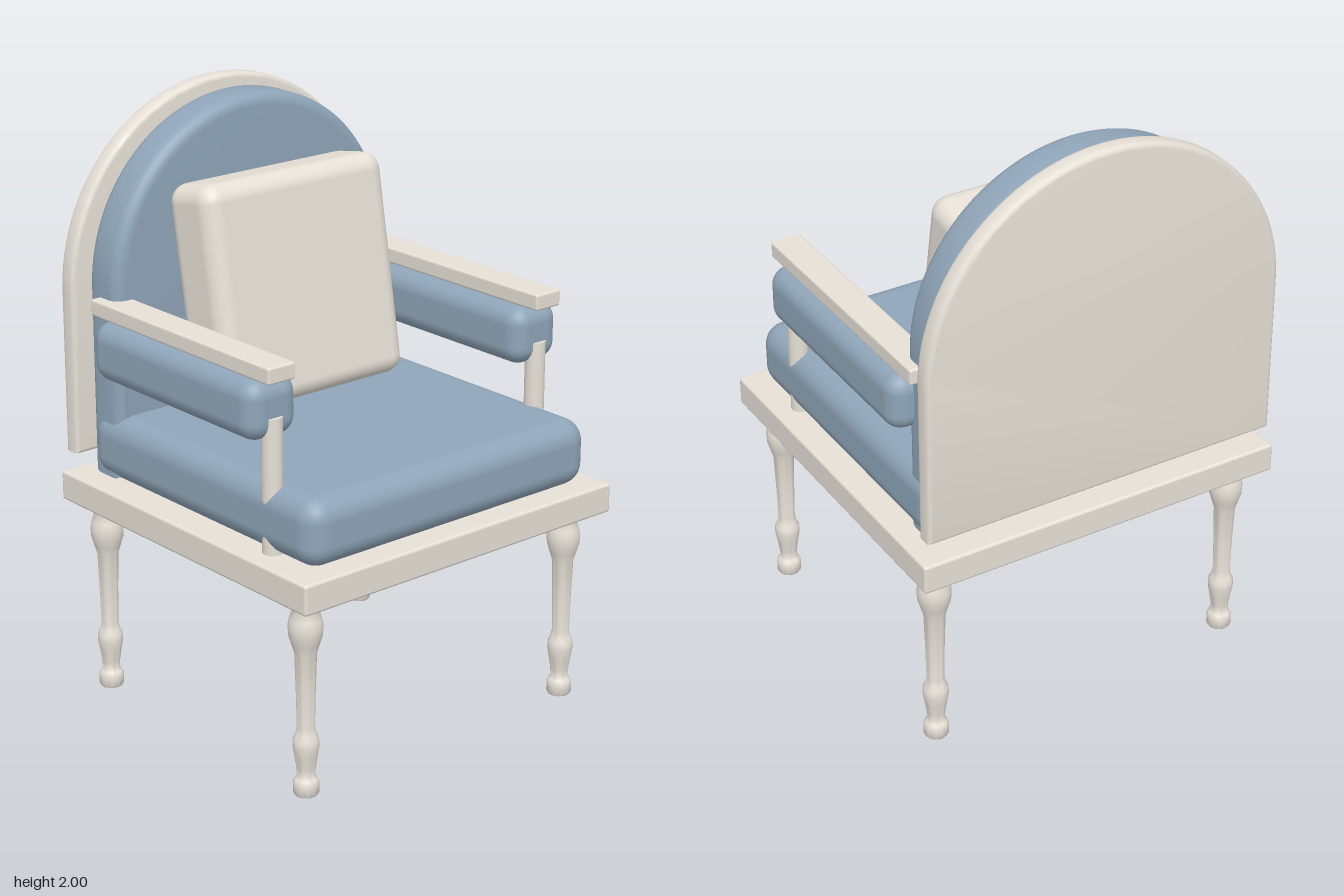
import * as THREE from 'three';
import { RoundedBoxGeometry } from 'three/addons/geometries/RoundedBoxGeometry.js';
import { toCreasedNormals } from 'three/addons/utils/BufferGeometryUtils.js';

const wood = new THREE.MeshStandardMaterial({ color: 0xe6e0d6 });
const fabric = new THREE.MeshStandardMaterial({ color: 0x8fa5b8 });

export function createModel() {
  const model = new THREE.Group();

  function add(name, geometry, material, x = 0, y = 0, z = 0) {
    const mesh = new THREE.Mesh(geometry, material);
    mesh.name = name;
    mesh.position.set(x, y, z);
    model.add(mesh);
    return mesh;
  }

  // Rounded block given by its extents on each axis
  function block(name, material, [x0, x1], [y0, y1], [z0, z1], radius) {
    const geometry = new RoundedBoxGeometry(x1 - x0, y1 - y0, z1 - z0, 5, radius);
    return add(name, geometry, material, (x0 + x1) / 2, (y0 + y1) / 2, (z0 + z1) / 2);
  }

  // Upright slab with a semicircular top and bevelled rims
  function arch(name, material, halfWidth, bottom, top, z0, z1, bevel, bevelSegments) {
    const r = halfWidth - bevel;
    const shape = new THREE.Shape();
    shape.moveTo(-r, bottom + bevel);
    shape.lineTo(r, bottom + bevel);
    shape.lineTo(r, top - halfWidth);
    shape.absarc(0, top - halfWidth, r, 0, Math.PI, false);
    shape.closePath();
    const geometry = new THREE.ExtrudeGeometry(shape, {
      depth: z1 - z0 - 2 * bevel,
      bevelSize: bevel,
      bevelThickness: bevel,
      bevelSegments,
      curveSegments: 32,
    });
    return add(name, toCreasedNormals(geometry, 0.6), material, 0, 0, z0 + bevel);
  }

  // Seat
  block('seatFrame', wood, [-0.645, 0.645], [0.66, 0.76], [-0.625, 0.625], 0.01);
  block('seatCushion', fabric, [-0.585, 0.585], [0.76, 0.985], [-0.545, 0.585], 0.075);

  // Back
  arch('backPanel', wood, 0.625, 0.83, 2, -0.62, -0.555, 0.015, 3);
  arch('backCushion', fabric, 0.57, 0.77, 1.965, -0.55, -0.395, 0.04, 5);

  // Loose pillow leaning on the back
  const pillow = add('pillow', new RoundedBoxGeometry(0.74, 0.74, 0.23, 6, 0.06), wood, 0, 1.377, -0.23);
  pillow.rotation.x = -0.175;

  // Turned leg, foot to top
  const legProfile = [
    [0, 0], [0.036, 0], [0.041, 0.008], [0.041, 0.042], [0.036, 0.054], [0.028, 0.062],
    [0.03, 0.09], [0.036, 0.13], [0.042, 0.165], [0.041, 0.19], [0.033, 0.205],
    [0.028, 0.23], [0.031, 0.36], [0.035, 0.48], [0.044, 0.51], [0.053, 0.54],
    [0.055, 0.57], [0.05, 0.595], [0.043, 0.615], [0.047, 0.64], [0.055, 0.665], [0, 0.665],
  ].map(([r, y]) => new THREE.Vector2(r, y));
  const legGeometry = toCreasedNormals(new THREE.LatheGeometry(legProfile, 24), 0.9);

  for (const [side, s] of [['left', 1], ['right', -1]]) {
    add(side + 'FrontLeg', legGeometry, wood, s * 0.55, 0, 0.51);
    add(side + 'BackLeg', legGeometry, wood, s * 0.55, 0, -0.51);

    // Arm: rail, padding and front post
    const spanX = (a, b) => (s > 0 ? [a, b] : [-b, -a]);
    block(side + 'ArmRail', wood, spanX(0.5, 0.605), [1.32, 1.375], [-0.485, 0.41], 0.008);
    block(side + 'ArmPad', fabric, spanX(0.45, 0.645), [1.125, 1.32], [-0.445, 0.375], 0.06);
    add(side + 'ArmPost', new THREE.CylinderGeometry(0.033, 0.033, 0.44, 24), wood, s * 0.55, 0.98, 0.357);
  }

  return model;
}
